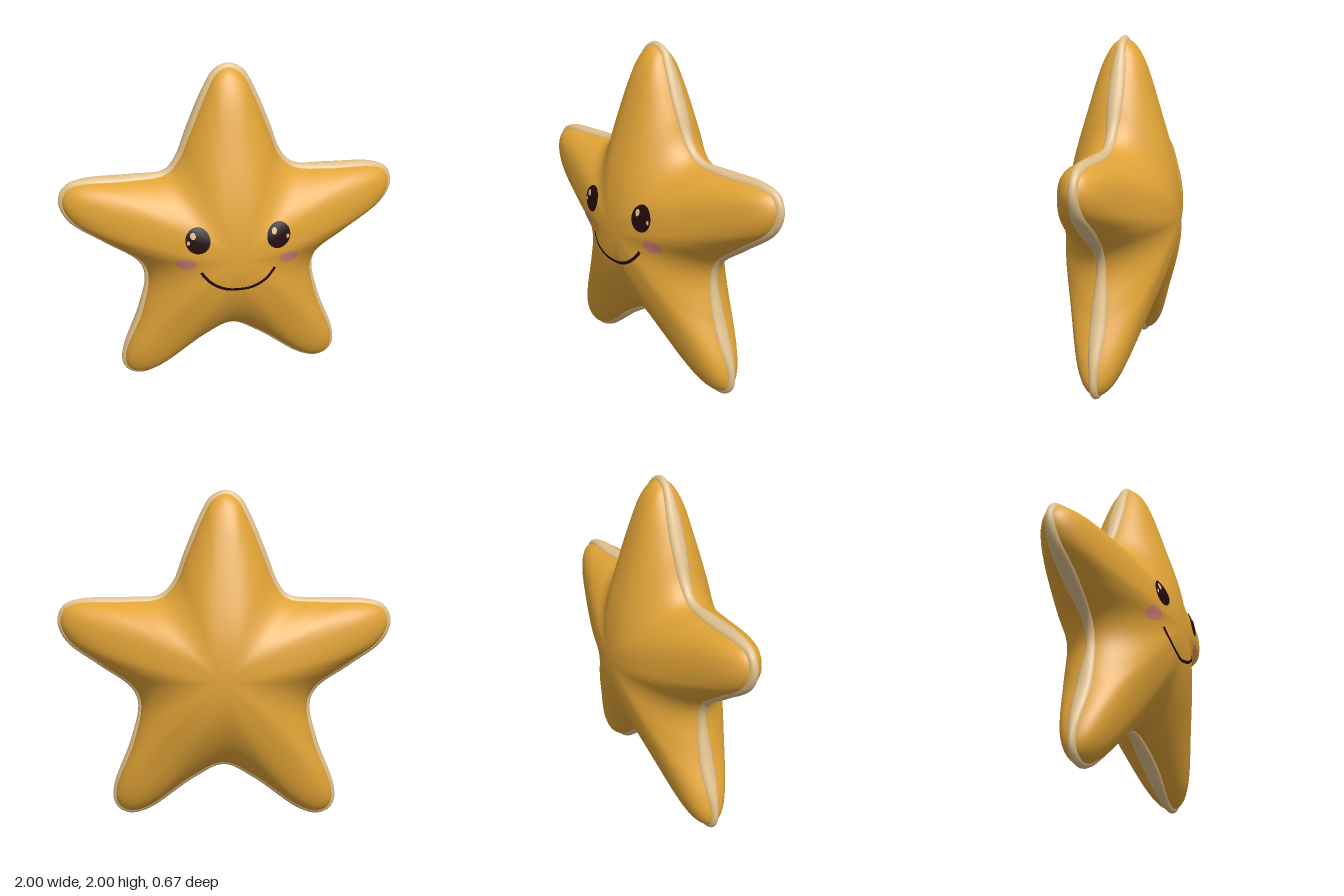
import * as THREE from 'three';

const CENTRE = new THREE.Vector2(0, 0.94);
const COLS = 240;

// Right half of the star outline, from the top tip down to the bottom notch
const HALF = [
  [0.075, 1.965], [0.135, 1.87], [0.235, 1.64], [0.305, 1.465], [0.385, 1.39], [0.58, 1.375],
  [0.86, 1.365], [0.96, 1.325], [0.998, 1.23], [0.95, 1.11], [0.76, 0.965], [0.565, 0.82],
  [0.525, 0.72], [0.575, 0.49], [0.685, 0.2], [0.692, 0.09], [0.655, 0.03], [0.58, 0.003],
  [0.47, 0.035], [0.18, 0.245],
];

// Counter-clockwise closed outline
function makeOutline() {
  const left = HALF.map(([x, y]) => [-x - (y > 1.4 ? 0.015 : 0), y]);
  const pts = [[-0.012, 2], ...left, [0, 0.328], ...HALF.slice().reverse()];
  const curve = new THREE.CatmullRomCurve3(pts.map(([x, y]) => new THREE.Vector3(x, y, 0)), true);
  return curve.getSpacedPoints(COLS).slice(0, COLS).map(p => new THREE.Vector2(p.x, p.y));
}

// Outward normals of the outline
function makeNormals(pts) {
  return pts.map((_, j) => {
    const d = pts[(j + 1) % COLS].clone().sub(pts[(j + COLS - 1) % COLS]).normalize();
    return new THREE.Vector2(d.y, -d.x);
  });
}

const OUTLINE = makeOutline();
const NORMALS = makeNormals(OUTLINE);
const inset = d => OUTLINE.map((p, j) => p.clone().addScaledVector(NORMALS[j], -d));
const BODY = inset(0.019);

// Puffed half thickness: r = distance from centre, t = fraction of the way to the rim.
// The notches between the arms slope more softly than the arms.
function puff(r, t) {
  const dome = 0.17 + 0.167 * Math.exp(-Math.pow(r / 0.6, 2.2));
  const power = 2.8 + 1.4 * THREE.MathUtils.smoothstep(r / Math.max(t, 1e-6), 0.5, 0.9);
  return dome * Math.sqrt(Math.max(0, 1 - t ** power));
}

// Front surface height at any x, y
function frontZ(x, y) {
  const dx = x - CENTRE.x, dy = y - CENTRE.y;
  for (let j = 0; j < COLS; j++) {
    const a = BODY[j].clone().sub(CENTRE), b = BODY[(j + 1) % COLS].clone().sub(CENTRE);
    const ca = a.x * dy - a.y * dx, cb = dx * b.y - dy * b.x;
    if (ca >= 0 && cb >= 0 && a.x * dx + a.y * dy > 0) {
      return puff(Math.hypot(dx, dy), (ca + cb) / (a.x * b.y - a.y * b.x));
    }
  }
  return puff(0, 0);
}

// Rows of rings, each ring closed around the star
function ringSurface(rows, point) {
  const pos = [], index = [];
  for (let i = 0; i <= rows; i++) {
    for (let j = 0; j < COLS; j++) {
      pos.push(...point(i / rows, j));
      if (i === rows) continue;
      const k = (j + 1) % COLS, a = i * COLS, b = a + COLS;
      index.push(a + j, b + j, b + k, a + j, b + k, a + k);
    }
  }
  const g = new THREE.BufferGeometry();
  g.setAttribute('position', new THREE.Float32BufferAttribute(pos, 3));
  g.setIndex(index);
  g.computeVertexNormals();
  return g;
}

// Lays a flat geometry on the front of the star
function drape(geometry, x, y, lift) {
  geometry.translate(x, y, 0);
  const p = geometry.attributes.position;
  for (let i = 0; i < p.count; i++) p.setZ(i, frontZ(p.getX(i), p.getY(i)) + lift);
  geometry.computeVertexNormals();
  return geometry;
}

export function createModel() {
  const model = new THREE.Group();
  model.name = 'star';
  const mat = (name, color) => {
    const m = new THREE.MeshStandardMaterial({ color });
    m.name = name;
    return m;
  };
  const gold = mat('gold', 0xe2a437);
  const cream = mat('cream', 0xe0c08c);
  const dark = mat('dark brown', 0x220a0c);
  const pink = mat('pink', 0xd88577);
  const add = (name, geometry, material) => {
    const mesh = new THREE.Mesh(geometry, material);
    mesh.name = name;
    model.add(mesh);
  };

  // Puffy body, from the front centre over the rim to the back centre
  add('body', ringSurface(52, (u, j) => {
    const s = u * Math.PI, t = Math.sin(s);
    const d = BODY[j].clone().sub(CENTRE).multiplyScalar(t);
    return [CENTRE.x + d.x, CENTRE.y + d.y, Math.sign(Math.cos(s)) * puff(d.length(), t)];
  }), gold);

  // Seam band around the rim, widest along the arms, narrow at tips and notches
  const core = inset(0.03);
  add('seamBand', ringSurface(16, (u, j) => {
    const a = u * 2 * Math.PI - Math.PI / 2;
    const p = core[j].clone().addScaledVector(NORMALS[j], 0.03 * Math.sin(a));
    const along = THREE.MathUtils.clamp((core[j].distanceTo(CENTRE) - 0.5) / 0.53, 0, 1);
    return [p.x, p.y, (0.024 + 0.024 * Math.sin(Math.PI * along)) * Math.cos(a)];
  }), cream);

  // Oval face patches
  const oval = (name, x, y, rx, ry, lift, material) =>
    add(name, drape(new THREE.RingGeometry(0.0001, 1, 32, 4).scale(rx, ry, 1), x, y, lift), material);
  for (const [side, s] of [['left', 1], ['right', -1]]) {
    const x = 0.233 * s;
    oval(side + 'Eye', x, 1.07, 0.07, 0.078, 0.005, dark);
    oval(side + 'EyeHighlight', x - 0.027, 1.1, 0.016, 0.02, 0.008, cream);
    oval(side + 'EyeGlint', x + 0.054 * s, 1.06, 0.009, 0.013, 0.008, cream);
    oval(side + 'Cheek', 0.303 * s, 0.916, 0.06, 0.04, 0.005, pink);
  }

  // Smile
  const half = 1.02;
  add('smile', drape(new THREE.RingGeometry(0.244, 0.262, 40, 1, -Math.PI / 2 - half, 2 * half), 0, 0.996, 0.005), dark);

  return model;
}
